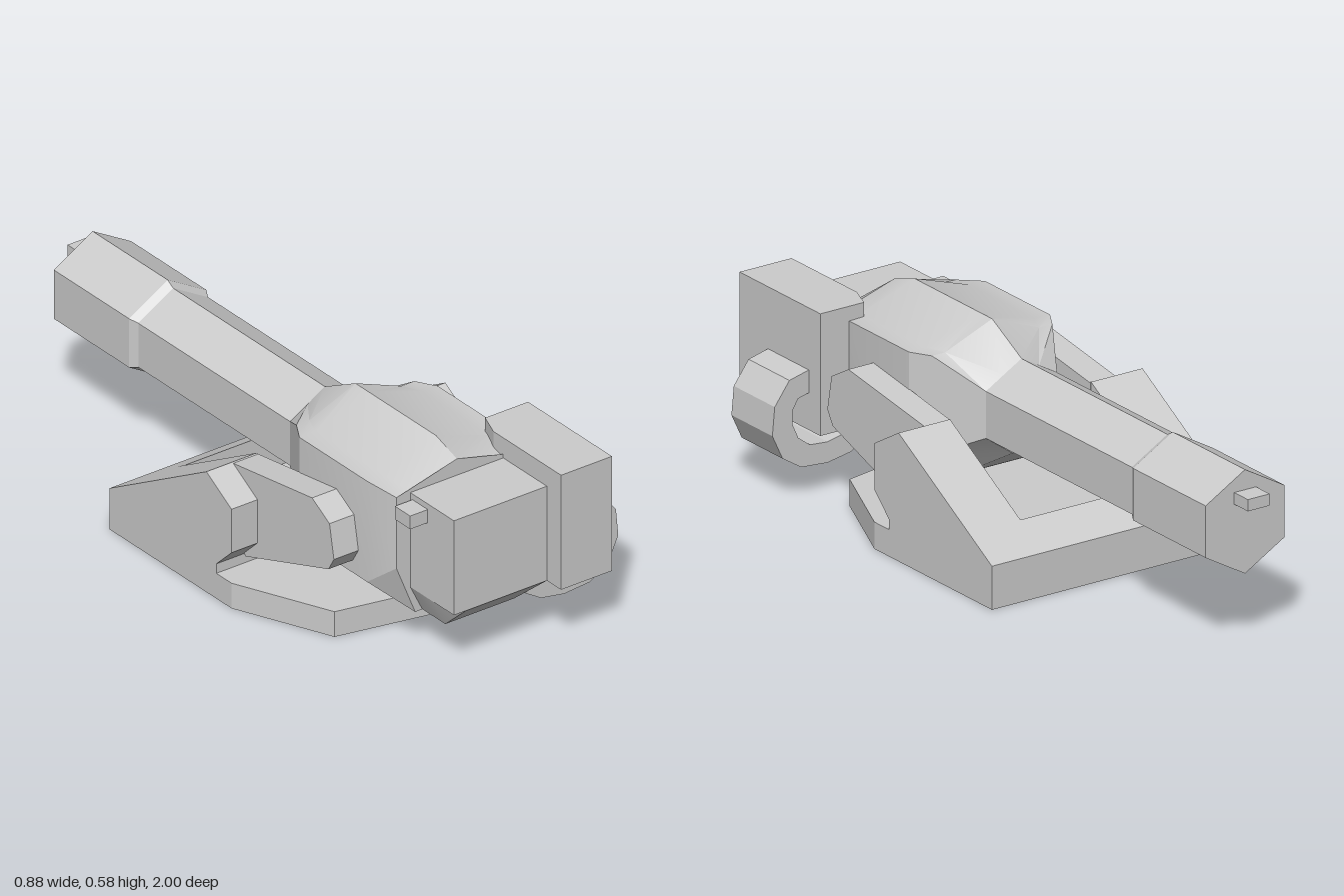
import * as THREE from 'three';
import { toCreasedNormals } from 'three/addons/utils/BufferGeometryUtils.js';

const CX = -0.024; // centre line of the turret and base

// Skin mirrored half-sections [x, y], listed from top to bottom at increasing z
function loft(sections) {
  const pos = [], idx = [];
  const rings = sections.map(([z, half]) => {
    const mirrored = half.filter(p => p[0] > 0).reverse().map(([x, y]) => [-x, y]);
    return [...half, ...mirrored].map(([x, y]) => [x, y, z]);
  });
  const n = rings[0].length, last = (rings.length - 1) * n;
  rings.flat().forEach(p => pos.push(...p));
  for (let i = 0; i < rings.length - 1; i++) {
    for (let j = 0; j < n; j++) {
      const a = i * n + j, b = i * n + (j + 1) % n;
      idx.push(a, a + n, b, a + n, b + n, b);
    }
  }
  for (let j = 1; j < n - 1; j++) {
    idx.push(0, j, j + 1, last, last + j + 1, last + j);
  }
  const g = new THREE.BufferGeometry();
  g.setAttribute('position', new THREE.Float32BufferAttribute(pos, 3));
  g.setIndex(idx);
  return toCreasedNormals(g, 0.4);
}

const extrude = (pts, depth) => new THREE.ExtrudeGeometry(
  new THREE.Shape(pts.map(p => new THREE.Vector2(...p))), { depth, bevelEnabled: false });

// Side profile [z, y] spanning x0..x1
const sideways = (pts, x0, x1) => extrude(pts, x1 - x0).rotateY(-Math.PI / 2).translate(x1, 0, 0);
// Plan outline [x, z] spanning y0..y1
const upright = (pts, y0, y1) => extrude(pts, y1 - y0).rotateX(Math.PI / 2).translate(0, y1, 0);

const box = (x0, x1, y0, y1, z0, z1) => new THREE.BoxGeometry(x1 - x0, y1 - y0, z1 - z0)
  .translate((x0 + x1) / 2, (y0 + y1) / 2, (z0 + z1) / 2);

export function createModel() {
  const model = new THREE.Group();
  const material = new THREE.MeshStandardMaterial({ color: 0xcccccc });
  const add = (name, geometry, x = 0) => {
    const mesh = new THREE.Mesh(geometry, material);
    mesh.name = name;
    mesh.position.x = x;
    model.add(mesh);
  };

  // Base plate with a blunt pointed front
  add('basePlate', upright([
    [-0.415, -0.31], [0.415, -0.31], [0.415, 0.25], [0.285, 0.55],
    [0, 0.61], [-0.285, 0.55], [-0.415, 0.25]], 0, 0.08), CX);
  add('rearBridge', sideways([[-0.31, 0.08], [-0.31, 0.13], [-0.2, 0.192], [-0.2, 0.08]], -0.24, 0.24), CX);

  // Cheek blocks and the swing arms they carry
  const cheek = [[-0.31, 0.08], [-0.31, 0.13], [0.135, 0.383], [0.25, 0.315],
    [0.25, 0.177], [0.18, 0.11], [0.18, 0.08]];
  const arm = [[0.135, 0.38], [0.5, 0.433], [0.58, 0.387], [0.6, 0.282],
    [0.575, 0.24], [0.195, 0.11], [0.13, 0.19]];
  for (const [side, s] of [['left', 1], ['right', -1]]) {
    const span = (a, b) => (s > 0 ? [a, b] : [-b, -a]);
    add(side + 'Cheek', sideways(cheek, ...span(0.24, 0.415)), CX);
    add(side + 'SwingArm', sideways(arm, ...span(0.238, 0.325)), CX);
  }

  // Turret: ridge, eave, wall top, wall bottom, floor
  add('turretBody', loft([
    [0.13, [[0, 0.51], [0.06, 0.475], [0.121, 0.44], [0.121, 0.3], [0.03, 0.235]]],
    [0.27, [[0, 0.583], [0.16, 0.52], [0.205, 0.52], [0.205, 0.225], [0.11, 0.145]]],
    [0.33, [[0, 0.583], [0.185, 0.522], [0.24, 0.52], [0.24, 0.2], [0.145, 0.115]]],
    [0.64, [[0, 0.583], [0.185, 0.522], [0.24, 0.52], [0.24, 0.2], [0.145, 0.115]]],
    [0.735, [[0, 0.552], [0.16, 0.502], [0.21, 0.5], [0.21, 0.275], [0.145, 0.115]]],
  ]), CX);

  // Housing at the front of the turret, chamfered underneath
  const housing = [[0, 0.5], [0.162, 0.5], [0.162, 0.2]];
  add('frontHousing', loft([
    [0.72, [...housing, [0.12, 0.115]]],
    [0.84, [...housing, [0.12, 0.115]]],
    [0.935, [...housing, [0.12, 0.2]]],
  ]), CX);
  add('sideKnob', box(-0.247, -0.18, 0.44, 0.482, 0.745, 0.815));

  // Ammunition box with its curved feed chute
  add('ammoBox', upright([[0.165, 0.615], [0.314, 0.615], [0.314, 1], [0.137, 1], [0.137, 0.69]], 0.2, 0.564));
  add('feedChute', extrude([
    [0.31, 0.38], [0.38, 0.363], [0.43, 0.295], [0.438, 0.21], [0.403, 0.135],
    [0.34, 0.095], [0.25, 0.088], [0.17, 0.102], [0.113, 0.137], [0.138, 0.19],
    [0.18, 0.165], [0.25, 0.15], [0.31, 0.155], [0.35, 0.185],
    [0.37, 0.23], [0.37, 0.27], [0.35, 0.302], [0.31, 0.312]], 0.195).translate(0, 0, 0.67));

  // Six-sided barrel with a thicker muzzle
  const hex = r => [[0, r], [0.866 * r, r / 2], [0.866 * r, -r / 2], [0, -r]].map(([x, y]) => [x, y + 0.37]);
  add('barrel', loft([
    [-0.935, hex(0.155)], [-0.59, hex(0.155)], [-0.565, hex(0.14)], [0.2, hex(0.14)]]), CX);
  add('muzzleStub', box(-0.037, 0.037, 0.43, 0.465, -1, -0.92), CX);

  return model;
}
